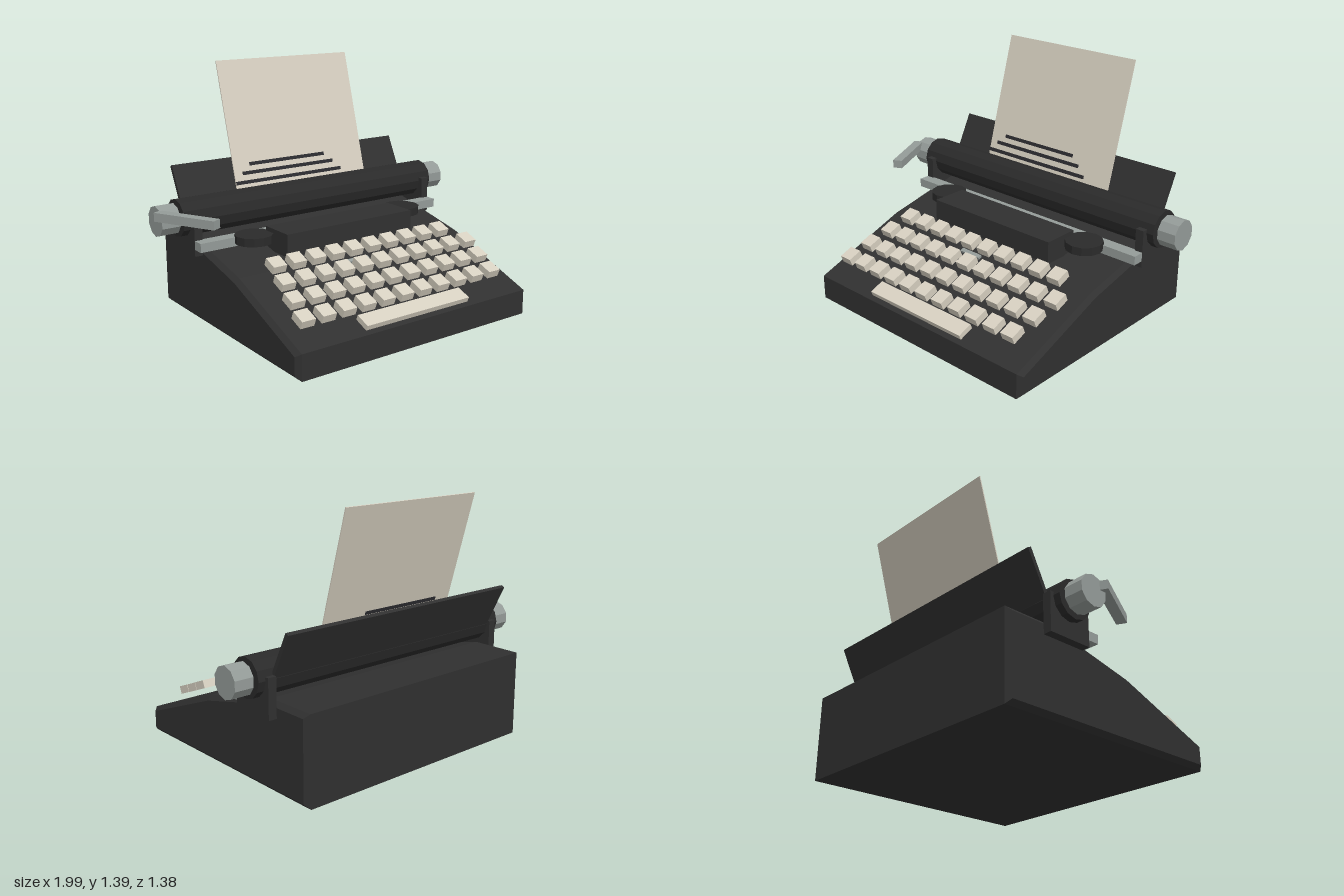
import * as THREE from 'three';

const CX = 0.018; // the body's middle; the lever makes the whole lopsided
const SLOPE = 0.38;

export function createModel() {
  const model = new THREE.Group();
  model.name = 'typewriter';

  const mat = (name, color) => {
    const m = new THREE.MeshStandardMaterial({ color });
    m.name = name;
    m.flatShading = true;
    return m;
  };
  const body = mat('charcoal', 0x303030);
  const rubber = mat('rubber black', 0x2a2a2a);
  const steel = mat('steel', 0x949b98);
  const cream = mat('cream', 0xd6cfc0);
  const ink = mat('ink', 0x2c2c30);

  const add = (name, geometry, material, x, y, z, parent = model) => {
    const m = new THREE.Mesh(geometry, material);
    m.name = name;
    m.position.set(x, y, z);
    parent.add(m);
    return m;
  };
  const box = (name, material, w, h, d, x, y, z, parent) =>
    add(name, new THREE.BoxGeometry(w, h, d), material, x, y, z, parent);
  // Cylinder lying along x with a corner on top
  const roller = (name, material, r, length, sides, x) => {
    const g = new THREE.CylinderGeometry(r, r, length, sides).rotateZ(Math.PI / 2);
    g.rotateX(-Math.PI / 2);
    return add(name, g, material, x, 0.59, -0.345);
  };

  // Wedge body: side profile (z, y) extruded across x with a chamfer
  const profile = new THREE.Shape([
    [0.668, 0.025], [0.668, 0.123], [0.117, 0.333], [-0.22, 0.41],
    [-0.4, 0.451], [-0.666, 0.451], [-0.666, 0.025],
  ].map(([z, y]) => new THREE.Vector2(z, y)));
  const wedge = new THREE.ExtrudeGeometry(profile, {
    depth: 1.498, bevelEnabled: true, bevelThickness: 0.025, bevelSize: 0.025, bevelSegments: 1,
  });
  wedge.translate(0, 0, -0.749).rotateY(-Math.PI / 2);
  add('body', wedge, body, CX, 0, 0);

  // Keyboard: four staggered rows [count, first x, y, z]
  const keyGeometry = new THREE.BoxGeometry(0.081, 0.044, 0.084);
  const keyboard = new THREE.Group();
  keyboard.name = 'keyboard';
  model.add(keyboard);
  const rows = [
    [10, -0.54, 0.405, 0.174],
    [11, -0.57, 0.354, 0.304],
    [11, -0.6, 0.303, 0.432],
    [11, -0.629, 0.253, 0.56],
  ];
  for (const [count, x0, y, z] of rows) {
    for (let i = 0; i < count; i++) {
      add('key', keyGeometry, cream, x0 + i * 0.125, y, z, keyboard).rotation.x = SLOPE;
    }
  }
  box('spaceBar', cream, 0.689, 0.03, 0.088, CX, 0.181, 0.628, keyboard).rotation.x = SLOPE;
  box('deckPlate', steel, 0.14, 0.015, 0.025, -0.022, 0.34, 0.195).rotation.x = SLOPE;

  // Type basket cover and ribbon spools
  box('typeCover', body, 0.857, 0.128, 0.214, CX, 0.459, -0.02);
  for (const side of [-1, 1]) {
    add('ribbonSpool', new THREE.CylinderGeometry(0.106, 0.106, 0.046, 12), rubber,
      CX + side * 0.518, 0.476, -0.107);
  }

  // Carriage: rail, end brackets, platen and knobs
  box('carriageRail', steel, 1.64, 0.05, 0.075, CX, 0.46, -0.185);
  roller('platen', rubber, 0.105, 1.722, 12, CX);
  roller('platenAxle', steel, 0.03, 1.85, 8, CX);
  for (const side of [-1, 1]) {
    box('carriageBracket', body, 0.048, 0.212, 0.257, CX + side * 0.797, 0.503, -0.341);
    roller('platenKnob', steel, 0.085, 0.107, 10, CX + side * 0.926);
  }

  // Carriage return lever, on the model's right
  box('returnLever', steel, 0.056, 0.048, 0.375, -0.887, 0.633, -0.129).rotation.y = 0.473;

  // Leaning paper rest behind the platen
  box('paperRest', body, 1.548, 0.265, 0.022, CX, 0.711, -0.496).rotation.x = -0.46;

  // Sheet of paper with typed lines
  const paper = new THREE.Group();
  paper.name = 'paper';
  paper.position.set(0.017, 0.67, -0.391);
  paper.rotation.x = -0.277;
  model.add(paper);
  box('sheet', cream, 0.904, 0.745, 0.006, 0, 0.3725, 0, paper);
  const lines = [[0.726, 0.042, 0.004], [0.625, 0.094, 0.004], [0.519, 0.143, 0]];
  for (const [width, y, z] of lines) {
    box('typedLine', ink, width, 0.02, 0.009, -0.087, y, z, paper);
  }

  return model;
}
